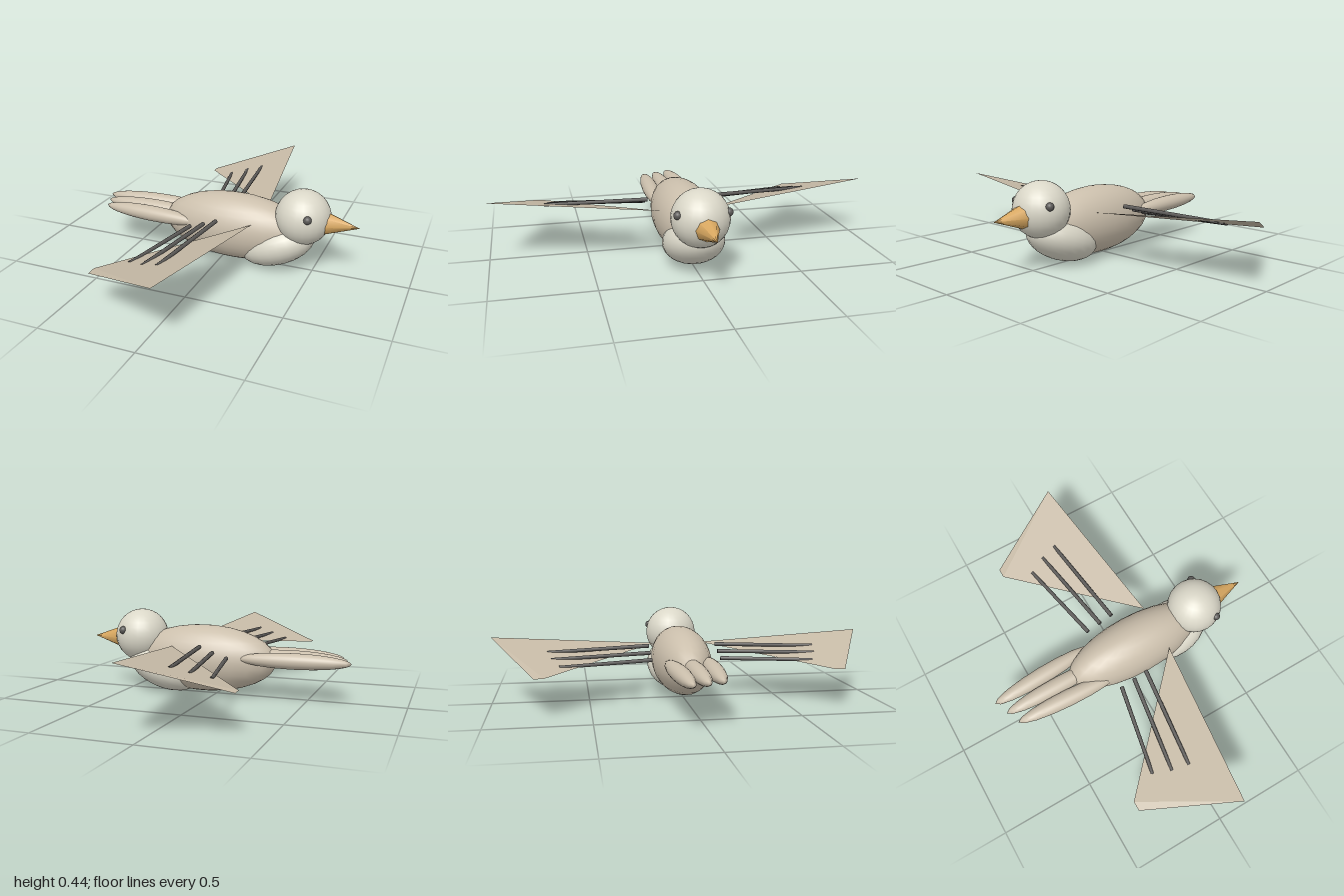
import * as THREE from 'three';
import { ConvexGeometry } from 'three/addons/geometries/ConvexGeometry.js';

const mat = (color, flatShading = false) => new THREE.MeshStandardMaterial({ color, flatShading });
const TAN = mat(0xcbbfac), CREAM = mat(0xdad7c8), BEAK = mat(0xd9a860), DARK = mat(0x5c5a58);
const WING = mat(0xc6baa6, true);
const V = (x, y, z) => new THREE.Vector3(x, y, z);

export function createModel() {
  const bird = new THREE.Group();
  bird.name = 'bird';

  const add = (name, geometry, material, position = [0, 0, 0]) => {
    const mesh = new THREE.Mesh(geometry, material);
    mesh.name = name;
    mesh.position.set(...position);
    bird.add(mesh);
    return mesh;
  };
  const ellipsoid = (name, material, position, radii, segments = 24) => {
    const mesh = add(name, new THREE.SphereGeometry(1, segments, 16), material, position);
    mesh.scale.set(...radii);
    return mesh;
  };
  const rod = (name, from, to, r0, r1, sides, material) => {
    const dir = to.clone().sub(from);
    const middle = from.clone().add(to).multiplyScalar(0.5);
    const mesh = add(name, new THREE.CylinderGeometry(r1, r0, dir.length(), sides), material, middle.toArray());
    mesh.quaternion.setFromUnitVectors(V(0, 1, 0), dir.normalize());
    return mesh;
  };

  // Body, breast and head; the bird looks along +x
  ellipsoid('body', TAN, [0.07, 0.196, 0], [0.4, 0.178, 0.154]);
  ellipsoid('breast', CREAM, [0.302, 0.135, 0], [0.21, 0.115, 0.155]).rotation.z = 0.35;
  ellipsoid('head', CREAM, [0.438, 0.302, 0], [0.144, 0.144, 0.144]);
  rod('beak', V(0.56, 0.285, 0), V(0.73, 0.285, 0), 0.06, 0, 8, BEAK);

  // Three long tail feathers
  const tail = [[-0.44, -0.09, -0.05], [-0.41, 0, 0], [-0.38, 0.088, 0.05]];
  tail.forEach(([x, z, tilt], i) => {
    const feather = ellipsoid('tailFeather' + (i + 1), TAN, [x, 0.22, z], [0.29, 0.041, 0.045], 16);
    feather.rotation.y = -tilt;
  });

  // Eyes, wings and wing quills on both sides
  const quills = [
    [0.03, 0.282, -0.035, 0.271, 0.71],
    [-0.04, 0.255, -0.12, 0.248, 0.69],
    [-0.115, 0.23, -0.21, 0.224, 0.65],
  ];
  for (const [side, s] of [['left', -1], ['right', 1]]) {
    ellipsoid(side + 'Eye', DARK, [0.493, 0.34, s * 0.123], [0.021, 0.021, 0.021], 16);
    // Thin wedge: shoulder, leading tip and the two trailing corners
    add(side + 'Wing', new ConvexGeometry([
      V(0.205, 0.27, s * 0.13), V(0.09, 0.338, s), V(-0.36, 0.198, s * 0.77), V(-0.36, 0.2, s * 0.72),
    ]), WING);
    quills.forEach(([x0, y0, x1, y1, z1], i) => {
      rod(side + 'Quill' + (i + 1), V(x0, y0, s * 0.18), V(x1, y1, s * z1), 0.011, 0.009, 8, DARK);
    });
  }
  return bird;
}
